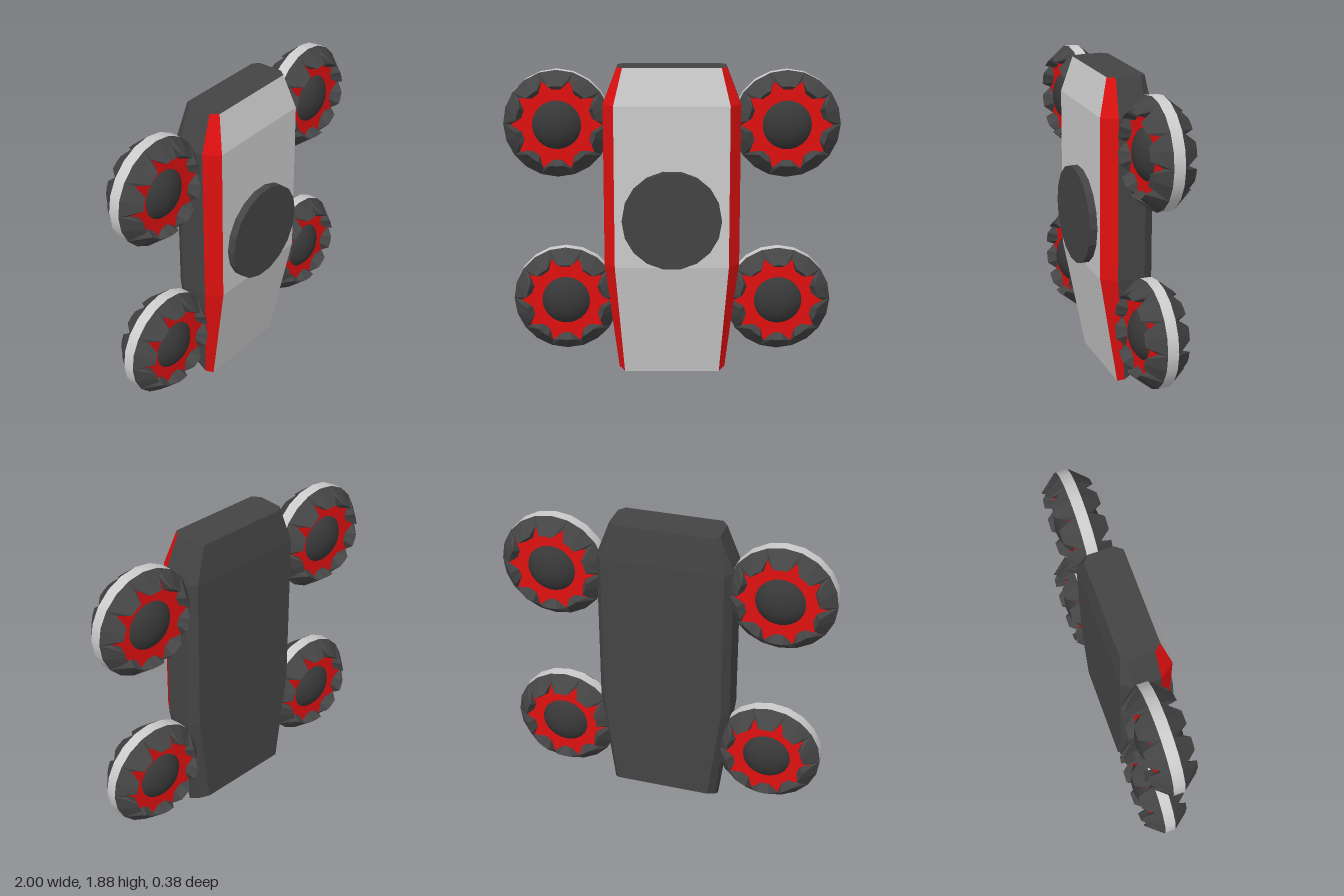
import * as THREE from 'three';

const material = (color, flatShading = true) => new THREE.MeshStandardMaterial({ color, flatShading });
const grey = material(0xcccccc);
const dark = material(0x444444);
const red = material(0xe01010);
const smoothGrey = material(0xcccccc, false);
const smoothDark = material(0x383838, false);

function mesh(name, geometry, mat) {
  const m = new THREE.Mesh(geometry, mat);
  m.name = name;
  return m;
}

// Faceted surface from a list of triangle corners
function facets(name, points, mat) {
  const geometry = new THREE.BufferGeometry().setFromPoints(points);
  geometry.computeVertexNormals();
  return mesh(name, geometry, mat);
}

const quad = (a, b, c, d) => [a, b, c, a, c, d];

// Octagonal hull: each section lists [half width, y, z] from front to back
function buildHull() {
  const sections = [
    [[0.29, 0, 0.02], [0.325, 0.02, -0.015], [0.325, 0.078, -0.105], [0.29, 0.113, -0.16]],
    [[0.34, 0.7, 0.147], [0.405, 0.7, 0.06], [0.405, 0.7, -0.105], [0.365, 0.7, -0.163]],
    [[0.34, 1.67, 0.147], [0.405, 1.67, 0.06], [0.405, 1.67, -0.105], [0.365, 1.67, -0.163]],
    [[0.288, 1.885, 0.09], [0.322, 1.885, 0.047], [0.322, 1.885, -0.102], [0.29, 1.885, -0.137]],
  ];
  const rings = sections.map((half) => [
    ...half.map(([x, y, z]) => new THREE.Vector3(x, y, z)),
    ...half.slice().reverse().map(([x, y, z]) => new THREE.Vector3(-x, y, z)),
  ]);
  const front = [], trim = [], shell = [];
  for (let s = 0; s < 3; s++) {
    for (let i = 0; i < 8; i++) {
      const j = (i + 1) % 8;
      const target = i === 7 ? front : i === 0 || i === 6 ? trim : shell;
      target.push(...quad(rings[s][i], rings[s][j], rings[s + 1][j], rings[s + 1][i]));
    }
  }
  // End caps
  for (let i = 1; i < 7; i++) {
    shell.push(rings[3][0], rings[3][i], rings[3][i + 1]);
    shell.push(rings[0][0], rings[0][i + 1], rings[0][i]);
  }
  const hull = new THREE.Group();
  hull.name = 'hull';
  hull.add(facets('frontPanel', front, grey), facets('sideTrim', trim, red), facets('shell', shell, dark));
  return hull;
}

// One face of a wheel: ten tread blocks parted by V notches, with a star plate behind
function buildWheelFace() {
  const tread = [], star = [];
  const step = Math.PI / 5;
  const polar = (r, z, t) => new THREE.Vector3(r * Math.cos(t), r * Math.sin(t), z);
  const centre = new THREE.Vector3(0, 0, 0.07);
  for (let k = 0; k < 10; k++) {
    const t0 = k * step, mid = t0 + step / 2, t1 = t0 + step;
    const row = (r, z, inset) => [t0 + inset, mid, t1 - inset].map((t) => polar(r, z, t));
    const rim = row(0.32, 0.033, 0);
    const crest = row(0.237, 0.134, 0.15);
    const inner = row(0.21, 0.07, 0.2);
    const notch = row(0.272, 0.07, 0);
    for (let i = 0; i < 2; i++) {
      tread.push(...quad(rim[i], rim[i + 1], crest[i + 1], crest[i]));
      tread.push(...quad(crest[i], crest[i + 1], inner[i + 1], inner[i]));
      star.push(centre, inner[i], inner[i + 1]);
    }
    // Notch walls
    tread.push(...quad(crest[0], inner[0], notch[0], rim[0]));
    tread.push(...quad(crest[2], rim[2], notch[2], inner[2]));
    star.push(centre, notch[0], inner[0], centre, inner[2], notch[2]);
  }
  const face = new THREE.Group();
  face.name = 'wheelFace';
  face.add(facets('treadBlocks', tread, dark), facets('starPlate', star, red));
  return face;
}

function buildWheel() {
  const wheel = new THREE.Group();
  wheel.name = 'wheel';
  const frontFace = buildWheelFace();
  const backFace = buildWheelFace();
  backFace.rotation.x = Math.PI;
  // Smooth band round the rim
  const band = mesh('rimBand',
    new THREE.CylinderGeometry(0.32, 0.32, 0.066, 20, 1, true, Math.PI / 2).rotateX(Math.PI / 2), smoothGrey);
  // Flattened hub, domed on both faces
  const hub = mesh('hub',
    new THREE.SphereGeometry(0.172, 32, 24).rotateX(Math.PI / 2).scale(1, 1, 0.76), smoothDark);
  wheel.add(frontFace, backFace, band, hub);
  return wheel;
}

export function createModel() {
  const model = new THREE.Group();
  model.name = 'rover';
  model.add(buildHull());

  // Round plate on the front
  const disc = mesh('frontDisc',
    new THREE.CylinderGeometry(0.295, 0.295, 0.08, 18, 1, false, Math.PI / 2).rotateX(Math.PI / 2), dark);
  disc.position.set(0, 0.995, 0.153);
  model.add(disc);

  // Two pairs of wheels
  for (const [pair, x, y] of [['upper', 0.68, 1.54], ['lower', 0.645, 0.46]]) {
    for (const side of [1, -1]) {
      const wheel = buildWheel();
      wheel.name = pair + (side > 0 ? 'LeftWheel' : 'RightWheel');
      wheel.position.set(side * x, y, -0.053);
      model.add(wheel);
    }
  }
  return model;
}
